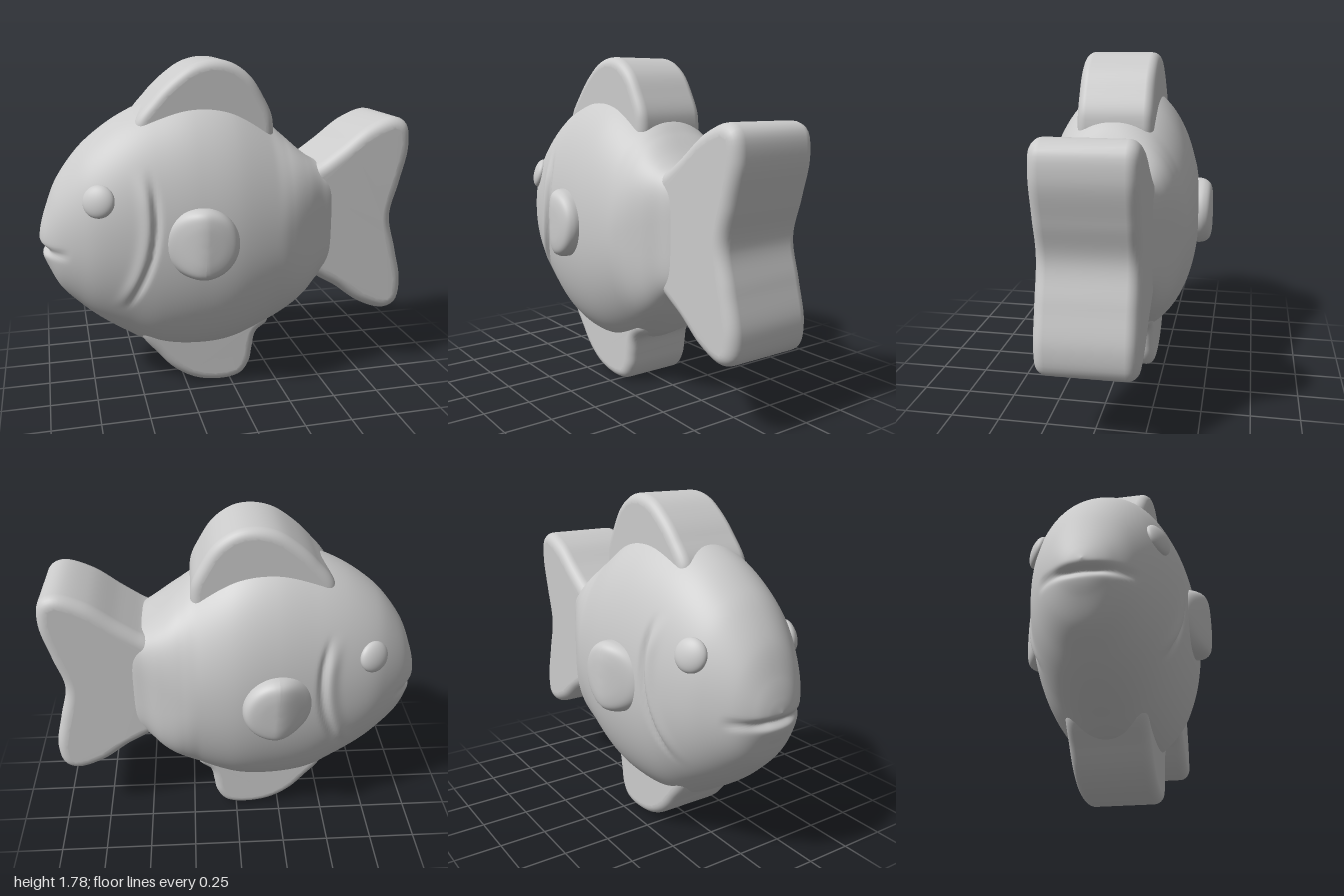
import * as THREE from 'three';
import { mergeVertices } from 'three/addons/utils/BufferGeometryUtils.js';

const { smoothstep, lerp } = THREE.MathUtils;
const bell = (d, width) => Math.exp(-((d / width) ** 2));

// Body stations from nose to tail root: x, top, bottom, half width
const STATIONS = [
  [-1, 0.865, 0.865, 0], [-0.988, 0.93, 0.78, 0.075], [-0.96, 1.02, 0.705, 0.135],
  [-0.9, 1.165, 0.585, 0.205], [-0.8, 1.305, 0.48, 0.275], [-0.7, 1.4, 0.395, 0.325],
  [-0.56, 1.495, 0.3, 0.365], [-0.4, 1.565, 0.21, 0.395], [-0.2, 1.61, 0.18, 0.418],
  [0, 1.58, 0.2, 0.424], [0.2, 1.465, 0.285, 0.395], [0.3, 1.38, 0.36, 0.365],
  [0.4, 1.29, 0.46, 0.32], [0.48, 1.235, 0.555, 0.275], [0.55, 1.215, 0.6, 0.243],
  [0.62, 1.15, 0.66, 0.2],
];

// Carves the mouth and the gill line into a body point
function carve(p) {
  const mouth = bell(p.y - 0.815, 0.022) * (1 - smoothstep(p.x, -0.93, -0.84));
  p.x += 0.035 * mouth * (1 - smoothstep(Math.abs(p.z), 0.05, 0.2));
  p.z *= 1 - 0.1 * mouth;
  const d = p.x - (-0.435 - 0.65 * (p.y - 1.02) ** 2);
  const fade = smoothstep(p.y, 0.52, 0.7) * (1 - smoothstep(p.y, 1.08, 1.27));
  p.z += Math.sign(p.z) * fade * (0.014 * bell(d + 0.035, 0.035) - 0.022 * bell(d - 0.008, 0.018));
}

function bodyGeometry(rings = 200, sides = 128) {
  const outline = new THREE.CatmullRomCurve3(
    STATIONS.map(([x, top, bottom]) => new THREE.Vector3(x, top, bottom)), false, 'catmullrom');
  const width = new THREE.CatmullRomCurve3(
    STATIONS.map(([x, , , w]) => new THREE.Vector3(x, w, 0)), false, 'catmullrom');
  const positions = [], index = [], p = new THREE.Vector3();
  for (let i = 0; i <= rings; i++) {
    const { x, y: top, z: bottom } = outline.getPoint(i / rings);
    const w = width.getPoint(i / rings).y;
    // Sections go from oval to boxy at the tail root
    const power = 2 / lerp(2.1, 4.5, smoothstep(x, 0.2, 0.58));
    for (let j = 0; j < sides; j++) {
      const a = (j / sides) * Math.PI * 2, c = Math.cos(a), s = Math.sin(a);
      p.set(x,
        (top + bottom) / 2 + (top - bottom) / 2 * Math.sign(c) * Math.abs(c) ** power,
        w * Math.sign(s) * Math.abs(s) ** power);
      carve(p);
      positions.push(p.x, p.y, p.z);
      if (i < rings) {
        const k = i * sides, n = (j + 1) % sides;
        index.push(k + j, k + n, k + sides + j, k + n, k + sides + n, k + sides + j);
      }
    }
  }
  const geo = new THREE.BufferGeometry();
  geo.setAttribute('position', new THREE.Float32BufferAttribute(positions, 3));
  geo.setIndex(index);
  geo.computeVertexNormals();
  return geo;
}

// Thick fin with a smooth closed outline and rounded edges
function finGeometry(points, halfDepth, round) {
  const curve = new THREE.CatmullRomCurve3(
    points.map(([x, y]) => new THREE.Vector3(x, y, 0)), true, 'centripetal');
  const shape = new THREE.Shape(curve.getSpacedPoints(110).slice(0, -1).map(p => new THREE.Vector2(p.x, p.y)));
  const geo = new THREE.ExtrudeGeometry(shape, {
    depth: 2 * (halfDepth - round), bevelEnabled: true, bevelThickness: round,
    bevelSize: round, bevelOffset: -round, bevelSegments: 7,
  });
  geo.translate(0, 0, round - halfDepth);
  geo.deleteAttribute('uv');
  geo.deleteAttribute('normal');
  const smooth = mergeVertices(geo, 1e-4);
  smooth.computeVertexNormals();
  return smooth;
}

// Round side fin that sinks into the body towards the front
function sideFinGeometry() {
  const profile = new THREE.SplineCurve([
    [0.182, -0.08], [0.185, 0.02], [0.178, 0.06], [0.155, 0.086], [0.11, 0.097], [0.05, 0.1], [0, 0.1],
  ].map(([r, h]) => new THREE.Vector2(r, h))).getPoints(30);
  profile[profile.length - 1].x = 0;
  const geo = new THREE.LatheGeometry(profile, 64);
  geo.rotateX(Math.PI / 2);
  const pos = geo.attributes.position;
  for (let i = 0; i < pos.count; i++) {
    const x = pos.getX(i);
    pos.setZ(i, pos.getZ(i) - 0.09 * (1 - smoothstep(x, -0.2, 0.02)));
    if (x < 0) pos.setX(i, x * 1.1);
  }
  geo.computeVertexNormals();
  return geo;
}

export function createModel() {
  const model = new THREE.Group();
  model.name = 'fish';
  const material = new THREE.MeshStandardMaterial({ color: 0xcccccc });
  const add = (name, geometry) => {
    const mesh = new THREE.Mesh(geometry, material);
    mesh.name = name;
    model.add(mesh);
    return mesh;
  };

  add('body', bodyGeometry());

  add('tailFin', finGeometry([
    [0.42, 1.18], [0.5, 1.235], [0.6, 1.305], [0.75, 1.415], [0.9, 1.465], [0.975, 1.43], [0.998, 1.3],
    [0.955, 1.1], [0.91, 0.915], [0.955, 0.72], [0.998, 0.52], [0.975, 0.395], [0.9, 0.36],
    [0.75, 0.41], [0.6, 0.52], [0.5, 0.58], [0.42, 0.64], [0.38, 0.9],
  ], 0.245, 0.06));

  add('topFin', finGeometry([
    [-0.5, 1.45], [-0.4, 1.595], [-0.3, 1.69], [-0.2, 1.755], [-0.1, 1.778], [0, 1.765],
    [0.1, 1.7], [0.17, 1.6], [0.23, 1.46], [0.2, 1.3], [-0.15, 1.25], [-0.42, 1.3],
  ], 0.2, 0.05));

  add('bottomFin', finGeometry([
    [-0.5, 0.34], [-0.4, 0.19], [-0.32, 0.1], [-0.22, 0.035], [-0.12, 0.006], [0, 0.004], [0.07, 0.03],
    [0.115, 0.1], [0.13, 0.18], [0.15, 0.27], [0.22, 0.34], [0.15, 0.5], [-0.15, 0.55], [-0.42, 0.48],
  ], 0.2, 0.05));

  // Paired parts on both sides
  const eyeGeo = new THREE.SphereGeometry(1, 40, 28).scale(0.083, 0.083, 0.038);
  const finGeo = sideFinGeometry();
  for (const [side, s] of [['right', 1], ['left', -1]]) {
    const eye = add(`${side}Eye`, eyeGeo);
    eye.position.set(-0.7, 1.11, 0.297 * s);
    eye.lookAt(-0.7 - 0.47, 1.11 + 0.3, (0.297 + 1) * s);

    const fin = add(`${side}SideFin`, finGeo);
    fin.position.set(-0.2, 0.89, 0.397 * s);
    if (s < 0) fin.rotation.x = Math.PI;
  }
  return model;
}
